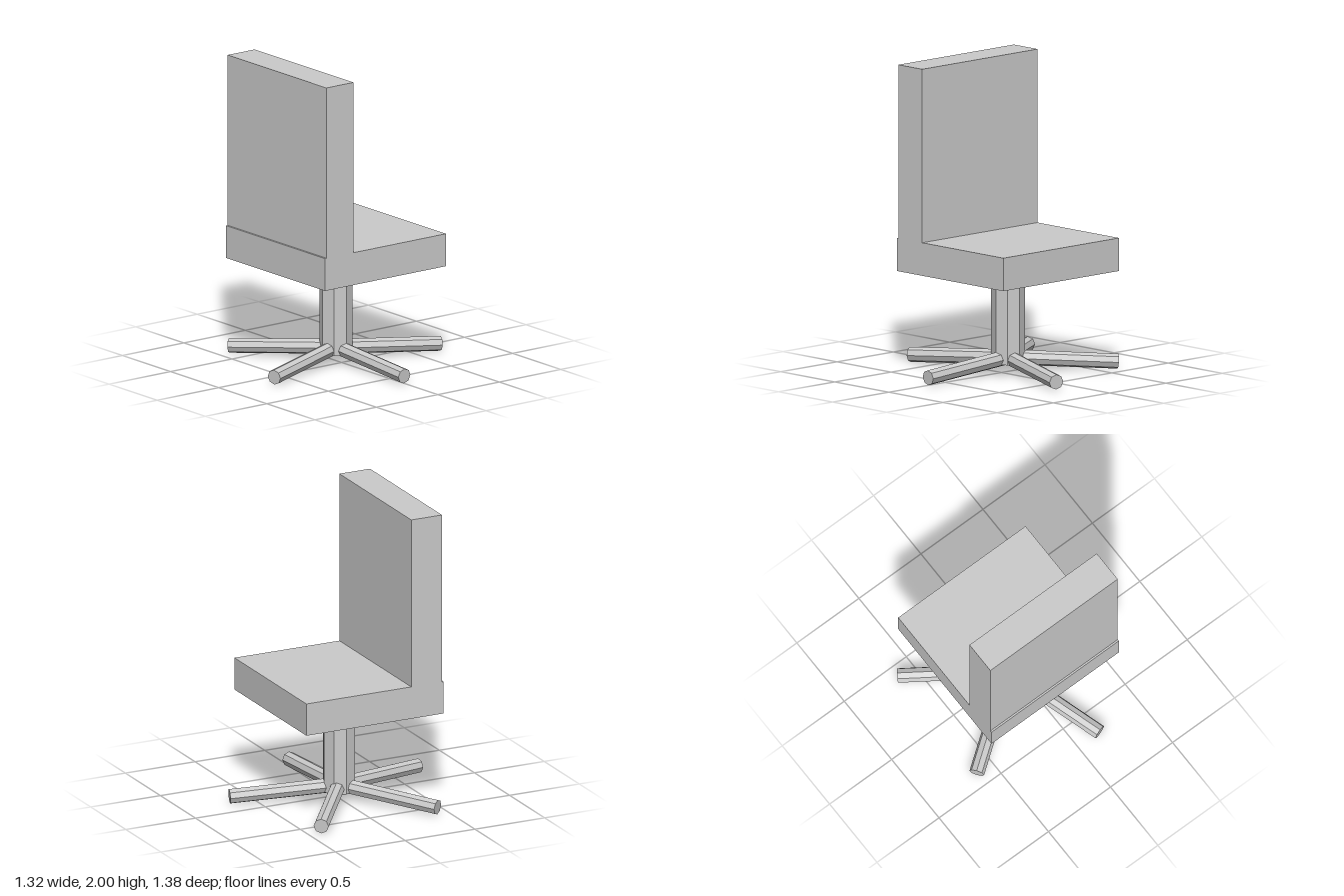
import * as THREE from 'three';

export function createModel() {
  const model = new THREE.Group();
  const material = new THREE.MeshStandardMaterial({ color: 0xcccccc, flatShading: true });
  const axisX = -0.058; // the chair's vertical axis

  const add = (name, geometry, x, y, z, parent = model) => {
    const mesh = new THREE.Mesh(geometry, material);
    mesh.name = name;
    mesh.position.set(x, y, z);
    parent.add(mesh);
    return mesh;
  };

  // Seat slab and upright back
  add('seat', new THREE.BoxGeometry(1.026, 0.215, 0.984), axisX, 0.7625, 0);
  add('backrest', new THREE.BoxGeometry(1.026, 1.13, 0.22), axisX, 1.435, 0.37);

  // Octagonal column
  add('column', new THREE.CylinderGeometry(0.108, 0.108, 0.6, 8), axisX, 0.36, 0);

  // Five octagonal legs, sloping down from the axis
  const reach = 0.71, hubY = 0.096, tipY = 0.05;
  const length = Math.hypot(reach, hubY - tipY);
  const legGeometry = new THREE.CylinderGeometry(0.049, 0.049, length, 8)
    .rotateZ(-Math.PI / 2)
    .rotateZ(-Math.atan2(hubY - tipY, reach))
    .translate(reach / 2, (hubY + tipY) / 2, 0);
  const base = new THREE.Group();
  base.name = 'starBase';
  base.position.x = axisX;
  model.add(base);
  for (let i = 0; i < 5; i++) {
    add(`leg${i + 1}`, legGeometry, 0, 0, 0, base).rotation.y = (i * Math.PI * 2) / 5;
  }
  return model;
}
